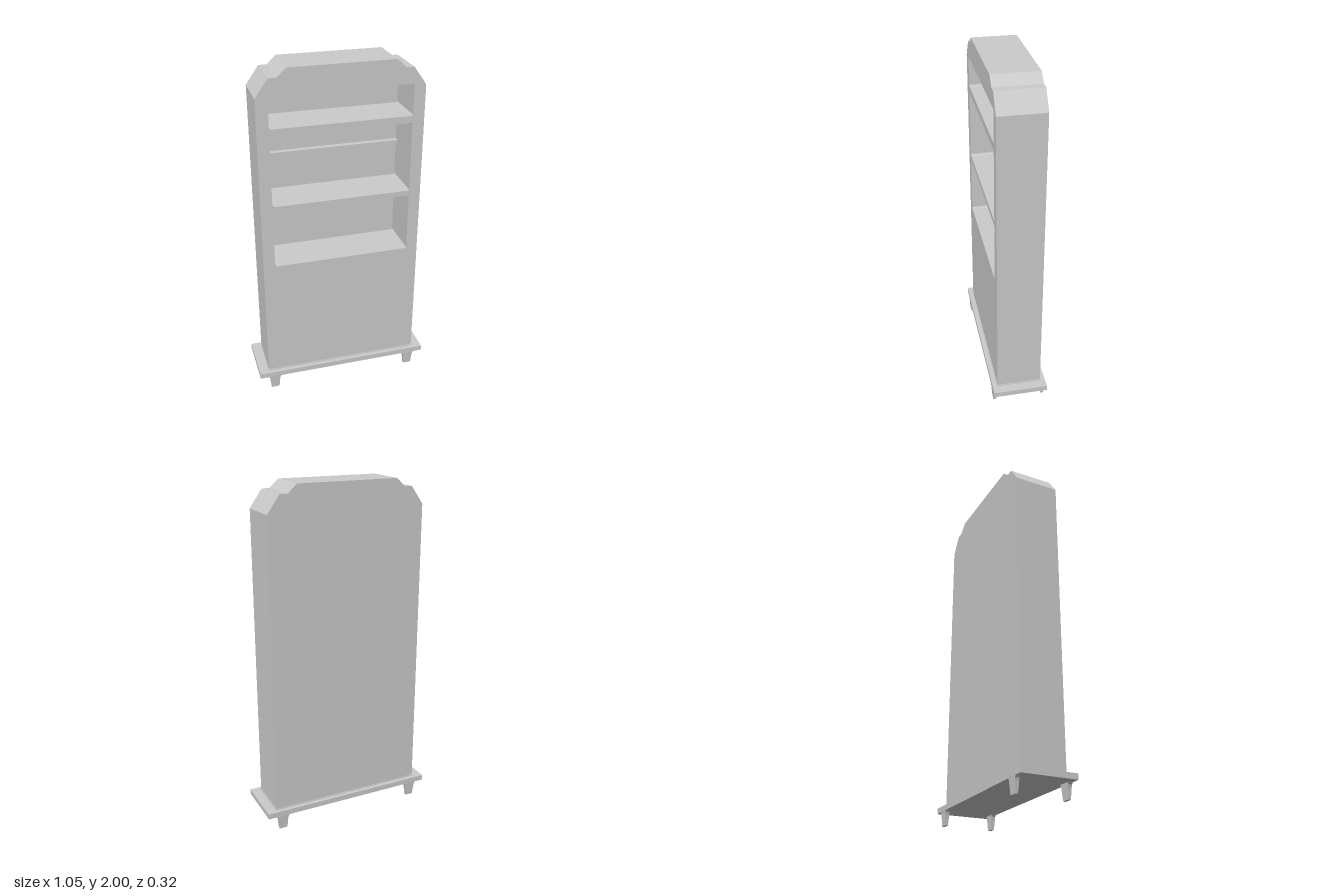
import * as THREE from 'three';

const material = new THREE.MeshStandardMaterial({ color: 0xcccccc, flatShading: true });

function add(parent, name, geometry, x = 0, y = 0, z = 0) {
  const mesh = new THREE.Mesh(geometry, material);
  mesh.name = name;
  mesh.position.set(x, y, z);
  parent.add(mesh);
  return mesh;
}

// Box given by its half width, y range and z range
function slab(parent, name, halfWidth, y0, y1, z0, z1) {
  return add(parent, name, new THREE.BoxGeometry(halfWidth * 2, y1 - y0, z1 - z0),
    0, (y0 + y1) / 2, (z0 + z1) / 2);
}

// Symmetric outline with stepped, chamfered shoulders
function cabinetOutline() {
  const right = [[0.467, 0.11], [0.467, 1.85], [0.395, 1.952], [0.35, 1.952], [0.298, 2]];
  const left = right.map(([x, y]) => [-x, y]).reverse();
  return new THREE.Shape([...right, ...left].map(([x, y]) => new THREE.Vector2(x, y)));
}

// Rectangular opening with slightly rounded corners
function opening(y0, y1, w = 0.4, r = 0.01) {
  const p = new THREE.Path();
  p.moveTo(-w + r, y0);
  p.lineTo(w - r, y0);
  p.quadraticCurveTo(w, y0, w, y0 + r);
  p.lineTo(w, y1 - r);
  p.quadraticCurveTo(w, y1, w - r, y1);
  p.lineTo(-w + r, y1);
  p.quadraticCurveTo(-w, y1, -w, y1 - r);
  p.lineTo(-w, y0 + r);
  p.quadraticCurveTo(-w, y0, -w + r, y0);
  return p;
}

// Tapered foot with a flared top, thinning towards the floor
function footGeometry() {
  const side = [[0.024, 0], [0.03, 0.06], [0.033, 0.075], [0.04, 0.086]];
  const points = [...side, ...side.map(([x, y]) => [-x, y]).reverse()];
  const shape = new THREE.Shape(points.map(([x, y]) => new THREE.Vector2(x, y)));
  const g = new THREE.ExtrudeGeometry(shape, { depth: 1, bevelEnabled: false });
  g.translate(0, 0, -0.5);
  const pos = g.attributes.position;
  for (let i = 0; i < pos.count; i++) {
    pos.setZ(i, pos.getZ(i) * (0.016 + 0.01 * pos.getY(i) / 0.086));
  }
  g.computeVertexNormals();
  return g;
}

export function createModel() {
  const model = new THREE.Group();
  model.name = 'displayCabinet';

  // Cabinet body: pierced front block closed by a thin back panel
  const cabinet = new THREE.Group();
  cabinet.name = 'cabinet';
  model.add(cabinet);
  const front = cabinetOutline();
  front.holes.push(opening(1.68, 1.86), opening(1.23, 1.64), opening(0.85, 1.2));
  add(cabinet, 'shelfFrame', new THREE.ExtrudeGeometry(front,
    { depth: 0.248, bevelEnabled: false, curveSegments: 3 }), 0, 0, -0.118);
  add(cabinet, 'backPanel', new THREE.ExtrudeGeometry(cabinetOutline(),
    { depth: 0.012, bevelEnabled: false }), 0, 0, -0.13);

  // Narrow rail across the back of the middle compartment
  slab(cabinet, 'backRail', 0.4, 1.43, 1.46, -0.118, -0.085);

  // Base plate with a small skirt around the cabinet foot
  slab(model, 'skirt', 0.472, 0.112, 0.122, -0.135, 0.135);
  slab(model, 'basePlate', 0.527, 0.085, 0.117, -0.16, 0.16);

  // Four feet at the corners
  const foot = footGeometry();
  for (const x of [-0.435, 0.435]) {
    for (const z of [-0.146, 0.146]) add(model, 'foot', foot, x, 0, z);
  }
  return model;
}
